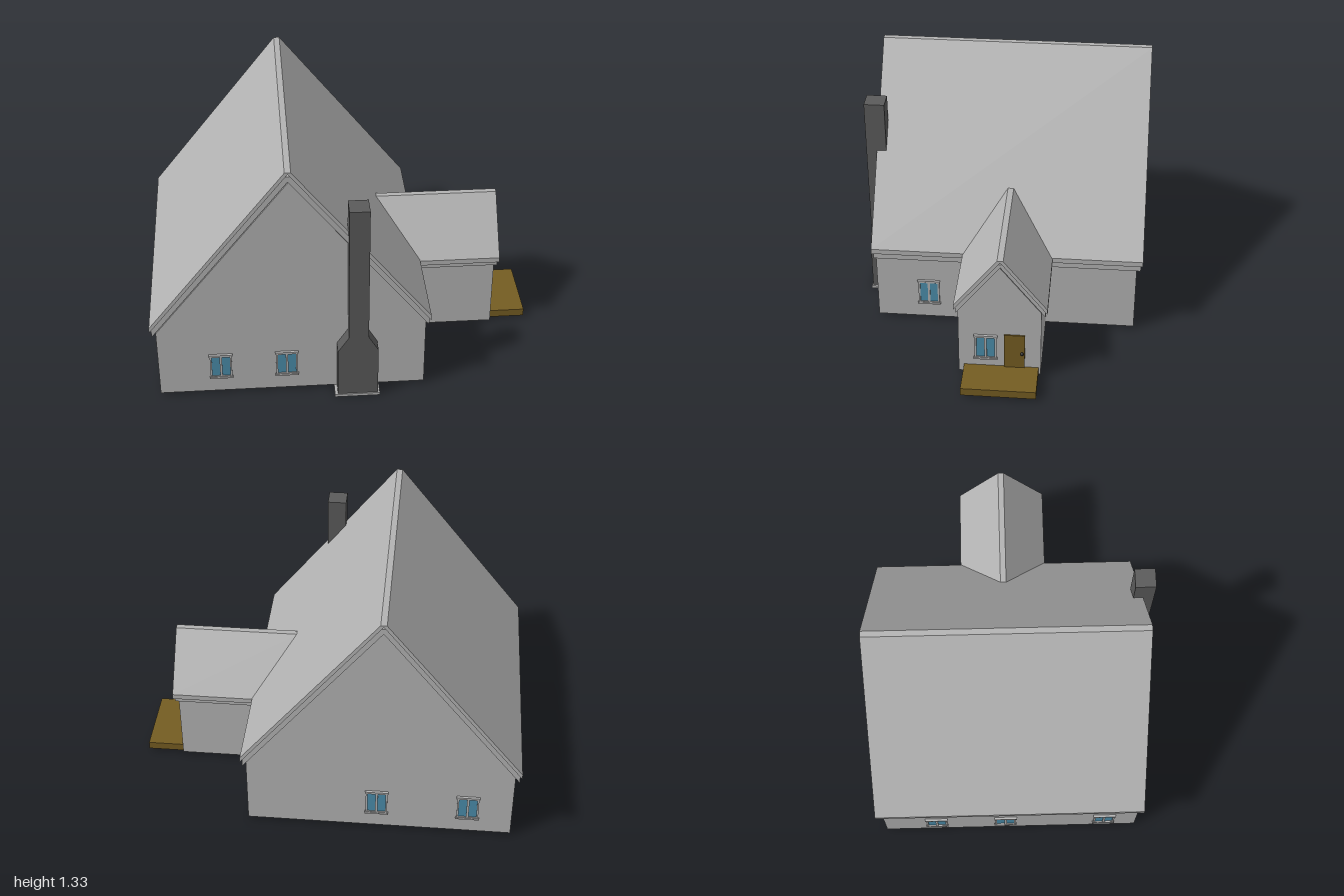
import * as THREE from 'three';

const mat = (name, color) => {
  const m = new THREE.MeshStandardMaterial({ color });
  m.name = name;
  return m;
};

export function createModel() {
  const house = new THREE.Group();
  house.name = 'house';
  const grey = mat('wall and roof grey', 0xb2b2b2);
  const dark = mat('chimney dark grey', 0x5a5a5a);
  const wood = mat('wood brown', 0x745c22);
  const glass = mat('window blue', 0x4a8caa);
  const black = mat('knob black', 0x2a2a2a);

  const add = (parent, name, geometry, material) => {
    const mesh = new THREE.Mesh(geometry, material);
    mesh.name = name;
    parent.add(mesh);
    return mesh;
  };
  // Box given by its minimum and maximum corners
  const box = (parent, name, material, x0, x1, y0, y1, z0, z1) => {
    const mesh = add(parent, name, new THREE.BoxGeometry(x1 - x0, y1 - y0, z1 - z0), material);
    mesh.position.set((x0 + x1) / 2, (y0 + y1) / 2, (z0 + z1) / 2);
    return mesh;
  };
  // Flat outline extruded from z0 to z1
  const prism = (points, z0, z1) => {
    const shape = new THREE.Shape(points.map(([x, y]) => new THREE.Vector2(x, y)));
    return new THREE.ExtrudeGeometry(shape, { depth: z1 - z0, bevelEnabled: false }).translate(0, 0, z0);
  };

  // Gabled wall block, ridge along z
  const walls = (name, half, eave, peak, z0, z1) =>
    add(house, name, prism([[-half, 0.015], [half, 0.015], [half, eave], [0, peak], [-half, eave]], z0, z1), grey);

  // Roof made of a covering layer and a slightly inset under layer
  const roof = (name, half, eave, ridge, thick, z0, z1, backInset) => {
    const group = new THREE.Group();
    group.name = name;
    const flat = 0.015, slope = (ridge - eave) / (half - flat);
    const at = (x, drop) => eave + slope * (half - x) - drop;
    const layer = (part, h, top, bottom, a, b) => add(group, part, prism([
      [-h, at(h, bottom)], [0, at(0, bottom)], [h, at(h, bottom)],
      [h, at(h, top)], [flat, at(flat, top)], [-flat, at(flat, top)], [-h, at(h, top)],
    ], a, b), grey);
    layer('roofCover', half, 0, 0.028, z0, z1);
    layer('roofTrim', half - 0.01, 0.028, thick, z0 + backInset, z1 - 0.01);
    house.add(group);
    return group;
  };

  // Main house
  walls('mainWalls', 0.6775, 0.4, 1.259, -0.7, 0.655).position.x = -0.2925;
  roof('mainRoof', 0.705, 0.45, 1.325, 0.075, -0.73, 0.675, 0.01).position.x = -0.295;

  // Entrance wing, ridge along x
  const wing = walls('wingWalls', 0.2075, 0.403, 0.67, 0.3, 0.81);
  wing.rotation.y = Math.PI / 2;
  wing.position.z = -0.0285;
  const wingRoof = roof('wingRoof', 0.2325, 0.445, 0.725, 0.065, 0.19, 0.835, 0);
  wingRoof.rotation.y = Math.PI / 2;
  wingRoof.position.z = -0.034;

  // Chimney with a wide tapered foot
  const chimney = new THREE.Group();
  chimney.name = 'chimney';
  house.add(chimney);
  box(chimney, 'chimneyStack', dark, -0.01, 0.09, 0.37, 1.127, 0.625, 0.73);
  add(chimney, 'chimneyFoot', prism([
    [-0.065, 0.015], [0.14, 0.015], [0.14, 0.29], [0.09, 0.375], [-0.01, 0.375], [-0.065, 0.29],
  ], 0.63, 0.729), dark);
  box(chimney, 'chimneyBase', grey, -0.08, 0.15, 0, 0.015, 0.625, 0.735);

  // Two-pane window, facing +z before it is turned
  const addWindow = (x, z, turn) => {
    const group = new THREE.Group();
    group.name = 'window';
    const rect = (Type, x0, x1, y0, y1) => new Type([
      new THREE.Vector2(x0, y0), new THREE.Vector2(x1, y0), new THREE.Vector2(x1, y1), new THREE.Vector2(x0, y1),
    ]);
    const outline = rect(THREE.Shape, -0.055, 0.055, -0.07, 0.07);
    for (const s of [-1, 1]) {
      const a = s * 0.026;
      outline.holes.push(rect(THREE.Path, a - 0.02, a + 0.02, -0.06, 0.06));
    }
    add(group, 'windowFrame', new THREE.ExtrudeGeometry(outline, { depth: 0.01, bevelEnabled: false }), grey);
    box(group, 'windowPanes', glass, -0.05, 0.05, -0.065, 0.065, 0, 0.004);
    for (const s of [-1, 1]) {
      box(group, 'windowSill', grey, -0.06, 0.06, s * 0.07 - 0.005, s * 0.07 + 0.005, 0, 0.013);
    }
    group.position.set(x, 0.177, z);
    group.rotation.y = turn;
    house.add(group);
  };
  for (const x of [-0.655, -0.32]) addWindow(x, 0.655, 0);
  for (const x of [-0.745, -0.28]) addWindow(x, -0.7, Math.PI);
  for (const z of [-0.42, -0.05, 0.48]) addWindow(-0.97, z, -Math.PI / 2);
  addWindow(0.385, 0.382, Math.PI / 2);
  addWindow(0.81, 0.042, Math.PI / 2);

  // Door, knob and porch step
  box(house, 'door', wood, 0.805, 0.817, 0.05, 0.26, -0.155, -0.05);
  const knob = add(house, 'doorKnob', new THREE.SphereGeometry(0.009, 12, 8), black);
  knob.position.set(0.823, 0.15, -0.142);
  box(house, 'porchStep', wood, 0.805, 1, 0.015, 0.057, -0.225, 0.152);

  return house;
}
